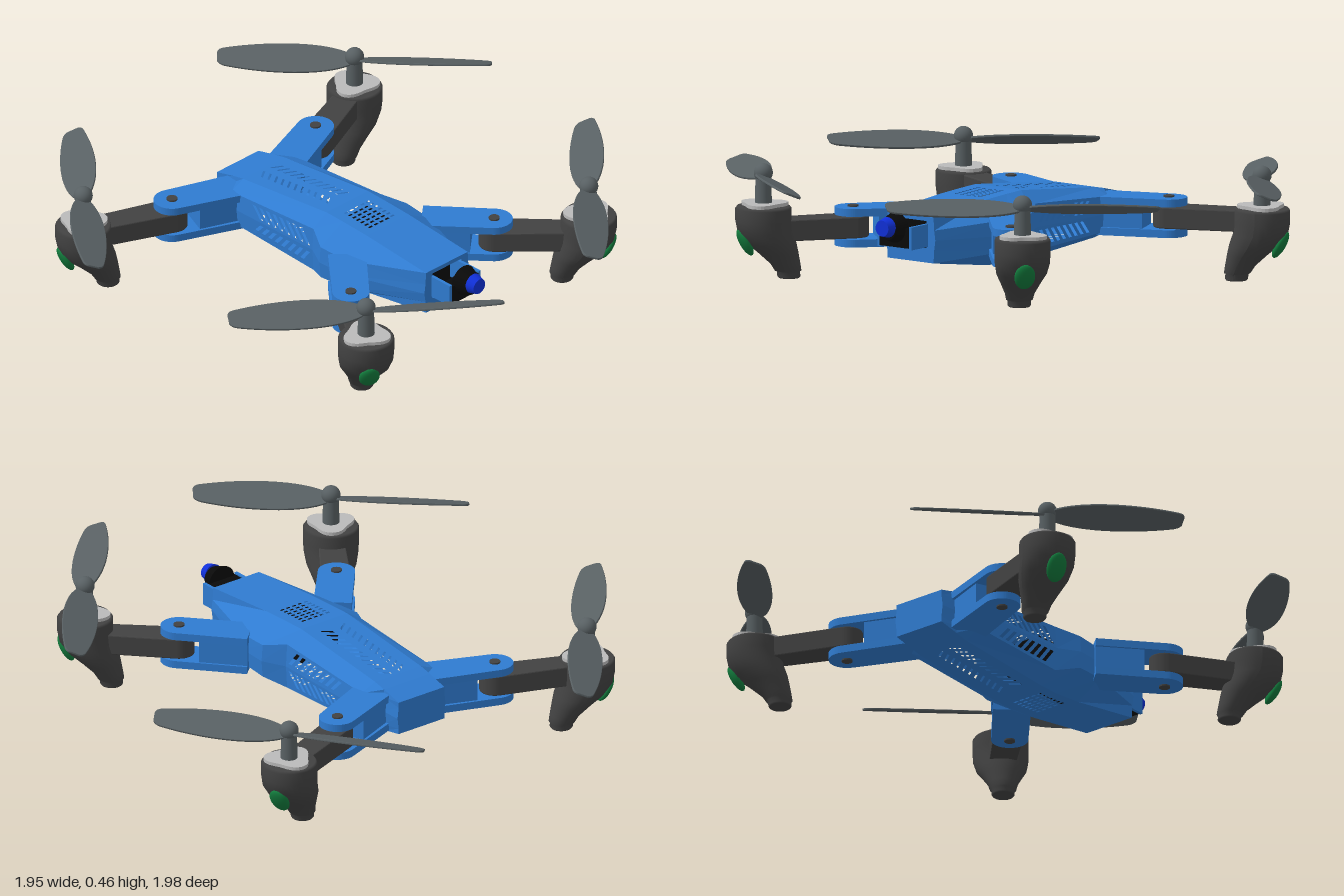
import * as THREE from 'three';
import { mergeGeometries } from 'three/addons/utils/BufferGeometryUtils.js';

const paint = (color, extra = {}) => new THREE.MeshStandardMaterial({ color, ...extra });
const BLUE = paint(0x2f7bd0);
const SHELL = paint(0x2f7bd0, { side: THREE.DoubleSide, flatShading: true });
const DARK = paint(0x424242);
const BLADE = paint(0x586063);
const CAP = paint(0xbababa);
const BLACK = paint(0x0a0a0a);
const LENS = paint(0x1030d8);
const GREEN = paint(0x127a3c);

function add(parent, name, geometry, material, x = 0, y = 0, z = 0) {
  const mesh = new THREE.Mesh(geometry, material);
  mesh.name = name;
  mesh.position.set(x, y, z);
  parent.add(mesh);
  return mesh;
}

const polygon = (pts) => pts.map(([x, y]) => new THREE.Vector2(x, y));

// Slab lying flat: outline in x and -z, rising from y = 0
function slab(shape, height, bevel = 0) {
  return new THREE.ExtrudeGeometry(shape, {
    depth: height, curveSegments: 16, bevelEnabled: bevel > 0,
    bevelSize: bevel, bevelThickness: bevel, bevelSegments: 2,
  }).rotateX(-Math.PI / 2);
}

// Hull stations: z, top half width, top y, side half width, shoulder y, lower shoulder y, bottom y
const STATIONS = [
  [-0.52, 0.10, 0.27, 0.10, 0.25, 0.17, 0.15],
  [-0.44, 0.10, 0.29, 0.105, 0.265, 0.16, 0.135],
  [-0.39, 0.10, 0.30, 0.16, 0.275, 0.155, 0.125],
  [0.02, 0.10, 0.345, 0.163, 0.305, 0.14, 0.10],
  [0.10, 0.10, 0.343, 0.207, 0.285, 0.165, 0.10],
  [0.22, 0.10, 0.338, 0.20, 0.28, 0.17, 0.11],
  [0.51, 0.10, 0.315, 0.103, 0.27, 0.20, 0.155],
];

// Ten-sided cross-section, clockwise seen from the front
function ring([z, wt, yt, ws, ya, yb, y0]) {
  const right = [[wt, yt], [ws, ya], [ws + 0.005, (ya + yb) / 2], [ws, yb], [wt, y0]];
  const left = right.map(([x, y]) => [-x, y]).reverse();
  return [...right, ...left].map(([x, y]) => new THREE.Vector3(x, y, z));
}

// Slanted slot in panel coordinates
const slot = (u, v, du, h, lean) => polygon([
  [u - du - lean, v - h], [u + du - lean, v - h], [u + du + lean, v + h], [u - du + lean, v + h]]);

// Vents and grille openings for the panel j between stations i and i + 1
function openings(i, j) {
  const z0 = STATIONS[i][0], len = STATIONS[i + 1][0] - z0, list = [];
  const flat = j === 4 || j === 9;
  if (i === 2 && [1, 2, 6, 7].includes(j)) {
    const lean = (j === 1 || j === 6 ? 1 : -1) * 0.05;
    for (let k = 0; k < 8; k++) list.push(slot((-0.022 - 0.033 * k - z0) / len, 0.48, 0.02, 0.33, lean));
  }
  if (i === 2 && flat) {
    for (let k = 0; k < 11; k++)
      for (const s of [-1, 1]) list.push(slot((-0.04 - 0.032 * k - z0) / len, 0.5 + s * 0.17, 0.012, 0.09, s * 0.03));
  }
  if ((i === 3 || i === 4) && flat) {
    for (let r = 0; r < 7; r++) {
      const u = (0.068 + 0.02 * r - z0) / len;
      if (u < 0.02 || u > 0.98) continue;
      for (let c = -2; c <= 2; c++) list.push(slot(u, 0.5 + c * 0.13, 0.004 / len, 0.04, 0));
    }
  }
  return list;
}

// Flat panel with openings, stretched between four corners
function panel(a, b, c, d, holes) {
  const shape = new THREE.Shape(polygon([[0, 0], [1, 0], [1, 1], [0, 1]]));
  shape.holes = holes.map((pts) => new THREE.Path(pts));
  const geometry = new THREE.ShapeGeometry(shape);
  const p = geometry.attributes.position;
  for (let k = 0; k < p.count; k++) {
    const u = p.getX(k), v = p.getY(k);
    const low = a.clone().lerp(b, u), high = d.clone().lerp(c, u);
    low.lerp(high, v);
    p.setXYZ(k, low.x, low.y, low.z);
  }
  geometry.computeVertexNormals();
  return geometry;
}

function buildBody() {
  const body = new THREE.Group();
  body.name = 'body';
  const rings = STATIONS.map(ring), panels = [];
  for (let i = 0; i < rings.length - 1; i++)
    for (let j = 0; j < 10; j++) {
      const n = (j + 1) % 10;
      panels.push(panel(rings[i][j], rings[i + 1][j], rings[i + 1][n], rings[i][n], openings(i, j)));
    }
  // End walls, the front one with the camera opening
  for (const r of [rings[0], rings[rings.length - 1]]) {
    const wall = new THREE.Shape(r.map((p) => new THREE.Vector2(p.x, p.y)));
    if (r[0].z > 0)
      wall.holes.push(new THREE.Path(polygon([[-0.07, 0.2], [0.07, 0.2], [0.07, 0.3], [-0.07, 0.3]])));
    panels.push(new THREE.ShapeGeometry(wall).translate(0, 0, r[0].z));
  }
  add(body, 'hullShell', mergeGeometries(panels), SHELL);
  add(body, 'innerBay', new THREE.BoxGeometry(0.15, 0.11, 0.42), BLACK, 0, 0.25, 0.25);

  // Camera held between two prongs
  for (const s of [-1, 1])
    add(body, 'cameraProng', new THREE.BoxGeometry(0.012, 0.08, 0.15), BLUE, s * 0.069, 0.25, 0.525);
  add(body, 'cameraHousing', new THREE.BoxGeometry(0.125, 0.07, 0.045), BLACK, 0, 0.25, 0.58);
  add(body, 'cameraBarrel', new THREE.CylinderGeometry(0.036, 0.055, 0.05, 24).rotateX(Math.PI / 2), BLACK, 0, 0.28, 0.615);
  add(body, 'cameraLens', new THREE.CylinderGeometry(0.028, 0.036, 0.032, 24).rotateX(Math.PI / 2), LENS, 0, 0.288, 0.654);
  return body;
}

// Tongue with a round end at the origin, running along +x
function tongue(length, r, rootR) {
  const s = new THREE.Shape();
  s.moveTo(length, rootR);
  s.lineTo(0, r);
  s.absarc(0, 0, r, Math.PI / 2, Math.PI * 1.5, false);
  s.lineTo(length, -rootR);
  return s;
}

function heading(group, dx, dz) {
  group.rotation.y = Math.atan2(-dz, dx);
  return group;
}

// Clevis on the hull: two plates, a root block and the pivot pin
function buildSocket(length, rootR) {
  const g = new THREE.Group();
  g.name = 'armSocket';
  add(g, 'upperPlate', slab(tongue(length, 0.064, rootR), 0.027), BLUE, 0, 0.04, 0);
  add(g, 'lowerPlate', slab(tongue(length, 0.064, rootR), 0.027), BLUE, 0, -0.067, 0);
  add(g, 'socketRoot', new THREE.BoxGeometry(length - 0.08, 0.09, 0.115), BLUE, 0.08 + (length - 0.08) / 2, 0, 0);
  add(g, 'pivotPin', new THREE.CylinderGeometry(0.019, 0.019, 0.145, 20), DARK);
  return g;
}

// Motor pod: turned form whose foot leans back toward the arm (+x is outward)
function buildPod() {
  const pod = new THREE.Group();
  pod.name = 'motorPod';
  const profile = polygon([[0, -0.255], [0.036, -0.255], [0.04, -0.25], [0.04, -0.232], [0.046, -0.23],
    [0.052, -0.205], [0.07, -0.165], [0.087, -0.13], [0.095, -0.09], [0.097, -0.05], [0.097, -0.008], [0.091, 0], [0, 0]]);
  const shell = new THREE.LatheGeometry(profile, 36);
  const p = shell.attributes.position;
  for (let k = 0; k < p.count; k++)
    p.setX(k, p.getX(k) - 0.092 * THREE.MathUtils.smoothstep(-p.getY(k), 0.06, 0.25));
  shell.computeVertexNormals();
  add(pod, 'podShell', shell, DARK);
  // Three-lobed cover
  const lobes = [];
  for (let k = 0; k < 48; k++) {
    const a = (k / 48) * Math.PI * 2, r = 0.076 + 0.012 * Math.cos(3 * (a - Math.PI / 3));
    lobes.push([r * Math.cos(a), r * Math.sin(a)]);
  }
  add(pod, 'podCover', slab(new THREE.Shape(polygon(lobes)), 0.012), CAP);
  const lamp = add(pod, 'signalLamp', new THREE.SphereGeometry(1, 24, 16), GREEN, 0.066, -0.125, 0);
  lamp.scale.set(0.018, 0.052, 0.036);
  lamp.rotation.z = -0.5;
  return pod;
}

// Two pitched blades on a stem with a round nut
function buildPropeller(dx, dz) {
  const prop = new THREE.Group();
  prop.name = 'propeller';
  add(prop, 'stem', new THREE.CylinderGeometry(0.027, 0.03, 0.11, 24), BLADE, 0, 0.055, 0);
  add(prop, 'hubNut', new THREE.SphereGeometry(0.033, 24, 16), BLADE, 0, 0.115, 0);
  const outline = new THREE.Shape();
  outline.moveTo(0.01, -0.02);
  outline.bezierCurveTo(0.1, -0.075, 0.3, -0.07, 0.455, -0.035);
  outline.quadraticCurveTo(0.475, -0.03, 0.475, -0.015);
  outline.lineTo(0.472, 0.02);
  outline.quadraticCurveTo(0.465, 0.035, 0.44, 0.04);
  outline.bezierCurveTo(0.3, 0.07, 0.1, 0.075, 0.01, 0.02);
  const geometry = slab(outline, 0.004, 0.002).rotateX(-0.36);
  const rotor = new THREE.Group();
  rotor.name = 'rotor';
  rotor.position.y = 0.1;
  rotor.rotation.x = -0.045;
  prop.add(rotor);
  for (const s of [1, -1]) {
    const blade = add(rotor, 'blade', geometry, BLADE);
    heading(blade, s * dx, s * dz);
  }
  return prop;
}

// Each arm: pivot, pod centre, pod top height, socket direction, blade direction
const ARMS = [
  { name: 'frontLeftArm', pivot: [0.345, 0.39], pod: [0.575, 0.62], top: 0.31, mid: 0.225, inward: [-0.66, -0.75], blade: [0.65, -0.70] },
  { name: 'frontRightArm', pivot: [-0.345, 0.39], pod: [-0.53, 0.655], top: 0.31, mid: 0.225, inward: [0.66, -0.75], blade: [0.72, 0.61] },
  { name: 'rearLeftArm', pivot: [0.345, -0.49], pod: [0.655, -0.615], top: 0.255, mid: 0.212, inward: [-0.93, 0.37], blade: [0.59, 0.72] },
  { name: 'rearRightArm', pivot: [-0.345, -0.49], pod: [-0.65, -0.615], top: 0.255, mid: 0.212, inward: [0.93, 0.37], blade: [0.60, -0.71] },
];

function buildArm({ name, pivot, pod, top, mid, inward, blade }) {
  const arm = new THREE.Group();
  arm.name = name;
  const dx = pod[0] - pivot[0], dz = pod[1] - pivot[1], reach = Math.hypot(dx, dz);
  const socket = heading(buildSocket(0.25, pivot[1] < 0 ? 0.07 : 0.066), ...inward);
  socket.position.set(pivot[0], mid, pivot[1]);
  const link = heading(new THREE.Group(), dx, dz);
  link.name = 'foldingLink';
  link.position.set(pivot[0], mid, pivot[1]);
  add(link, 'linkBar', slab(tongue(reach - 0.05, 0.05, 0.042), 0.066, 0.004), DARK, 0, -0.033, 0);
  const motor = heading(buildPod(), dx, dz);
  motor.position.set(pod[0], top, pod[1]);
  const prop = buildPropeller(...blade);
  prop.position.set(pod[0], top, pod[1]);
  arm.add(socket, link, motor, prop);
  return arm;
}

export function createModel() {
  const drone = new THREE.Group();
  drone.name = 'quadcopter';
  drone.add(buildBody(), ...ARMS.map(buildArm));
  return drone;
}
